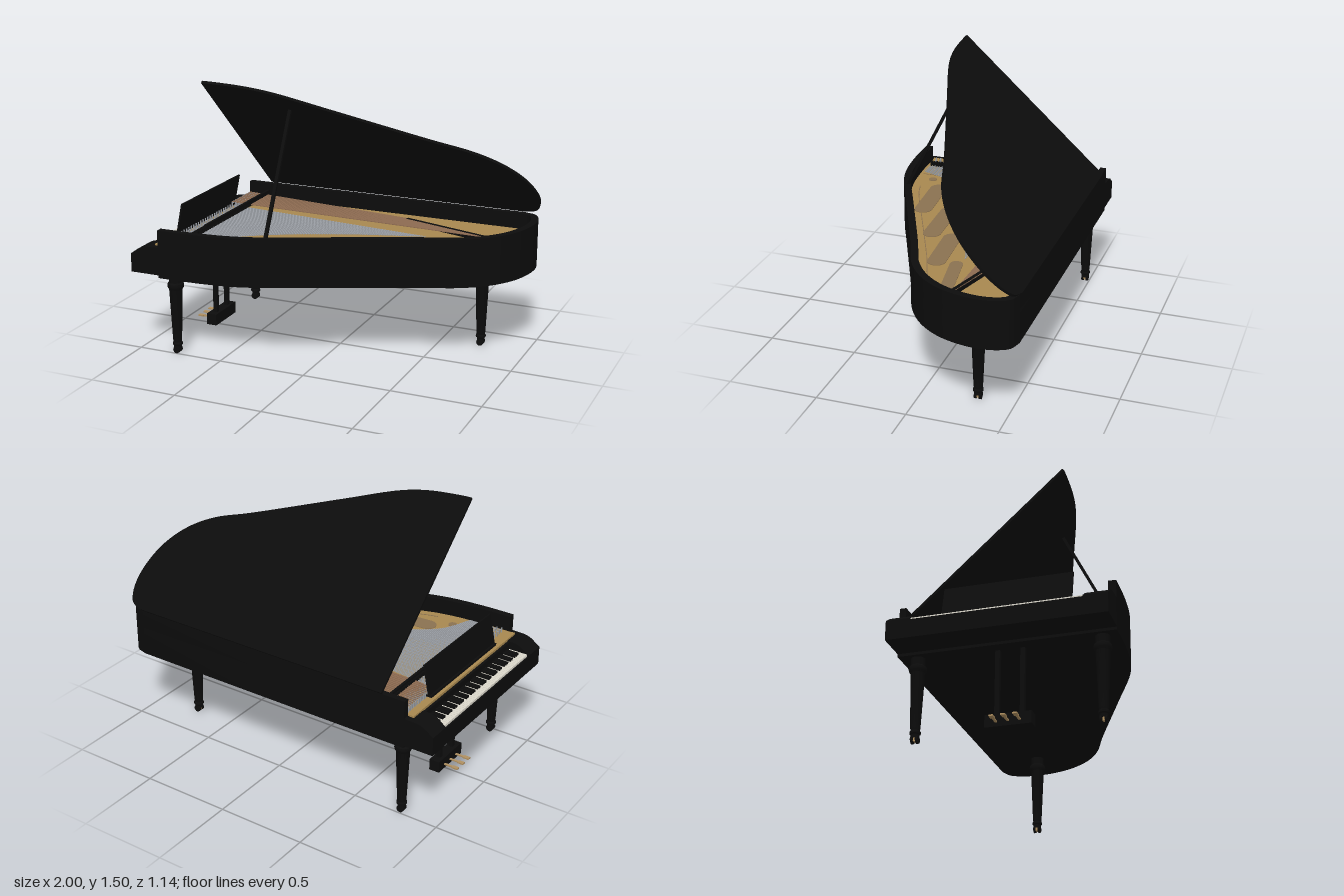
import * as THREE from 'three';
import { mergeGeometries, toCreasedNormals } from 'three/addons/utils/BufferGeometryUtils.js';

const mat = (name, color) => Object.assign(new THREE.MeshStandardMaterial({ color }), { name });

export function createModel() {
  const piano = new THREE.Group();
  piano.name = 'grandPiano';
  const black = mat('blackLacquer', 0x0c0c0c);
  const gold = mat('goldPlate', 0xa8884f);
  const tan = mat('shadedSoundboard', 0x8a7150);
  const ivory = mat('ivory', 0xdcd8cc);
  const silver = mat('steelString', 0x9a9ea4);
  const copper = mat('copperString', 0x8c6a50);
  const brass = mat('brass', 0xb09060);

  const add = (name, geo, material, parent = piano) => {
    const m = new THREE.Mesh(geo, material);
    m.name = name;
    parent.add(m);
    return m;
  };
  // box given by its limits on each axis
  const box = (x0, x1, y0, y1, z0, z1) =>
    new THREE.BoxGeometry(x1 - x0, y1 - y0, z1 - z0)
      .translate((x0 + x1) / 2, (y0 + y1) / 2, (z0 + z1) / 2);
  // horizontal bar between two [x, z] points
  const bar = ([ax, az], [bx, bz], y, w, h) =>
    new THREE.BoxGeometry(Math.hypot(bx - ax, bz - az), h, w)
      .rotateY(Math.atan2(az - bz, bx - ax))
      .translate((ax + bx) / 2, y, (az + bz) / 2);
  // slab with a plan outline of [x, z] points
  const slab = (pts, y0, y1) => {
    const s = new THREE.Shape(pts.map(([x, z]) => new THREE.Vector2(x, -z)));
    const g = new THREE.ExtrudeGeometry(s, { depth: y1 - y0, bevelEnabled: false });
    return toCreasedNormals(g.rotateX(-Math.PI / 2).translate(0, y0, 0), 0.5);
  };

  // plan curve of the bent side and tail
  const bent = new THREE.CatmullRomCurve3([
    [-0.83, 0.565], [-0.65, 0.562], [-0.45, 0.543], [-0.3, 0.505], [0, 0.375], [0.5, 0.155],
    [0.72, 0.065], [0.85, -0.03], [0.94, -0.15], [0.985, -0.27], [1, -0.39],
    [0.985, -0.48], [0.95, -0.54], [0.88, -0.565],
  ].map(([x, z]) => new THREE.Vector3(x, 0, z)));
  const outline = (inset) => {
    const pts = [];
    for (let i = 0; i <= 78; i++) {
      const p = bent.getPoint(i / 78), t = bent.getTangent(i / 78);
      pts.push([p.x + t.z * inset, p.z - t.x * inset]);
    }
    return pts;
  };
  const outer = outline(0), inner = outline(0.04);

  // case: solid lower body and raised rim open toward the keyboard
  add('caseBody', slab([...outer, [-0.83, -0.565]], 0.455, 0.62), black);
  add('rim', slab([...outer, [-0.83, -0.565], [-0.83, -0.53], ...inner.slice().reverse()], 0.62, 0.725), black);

  // plate with its oval openings
  add('plate', slab([[-0.865, 0.53], ...inner, [-0.865, -0.53]], 0.62, 0.636), gold);
  const border = outline(0.085);
  const lines = [];
  for (let i = 14; i < 66; i++) lines.push(bar(border[i], border[i + 1], 0.637, 0.004, 0.003));
  lines.push(bar([-0.6, 0.25], [-0.6, 0.5], 0.637, 0.004, 0.003));
  add('plateEdge', mergeGeometries(lines), tan);
  const openings = [
    [[-0.42, 0.335], [-0.11, 0.315]], [[-0.13, 0.165], [0.18, 0.155]],
    [[0.2, 0.03], [0.5, 0.01]], [[0.5, -0.1], [0.75, -0.14]],
  ].map(([a, b], i) => {
    const r = i < 3 ? 0.05 : 0.035;
    const disc = (p) => new THREE.CylinderGeometry(r, r, 0.004, 24).translate(p[0], 0.637, p[1]);
    return mergeGeometries([bar(a, b, 0.637, 2 * r, 0.004), disc(a), disc(b)]);
  });
  openings.push(new THREE.CylinderGeometry(0.025, 0.025, 0.004, 20).translate(-0.535, 0.637, 0.415));
  add('plateOpenings', mergeGeometries(openings), tan);

  // strings and tuning pins
  const trebleEnd = new THREE.CatmullRomCurve3([
    [-0.6, 0.49], [-0.52, 0.32], [-0.3, 0.16], [0.05, 0.0], [0.45, -0.13],
  ].map(([x, z]) => new THREE.Vector3(x, 0, z)));
  const treble = [], bass = [], pins = [];
  const pin = (x, z) => pins.push(new THREE.CylinderGeometry(0.004, 0.004, 0.03, 6).translate(x, 0.65, z));
  for (let i = 0; i < 110; i++) {
    const t = i / 109, z = 0.49 - 0.74 * t, e = trebleEnd.getPoint(t);
    const x = -0.8 + 0.025 * (i % 4);
    treble.push(bar([x, z], [e.x, e.z], 0.652, 0.003, 0.003));
    pin(x, z);
  }
  for (let i = 0; i < 60; i++) {
    const t = i / 59, z = -0.51 + 0.24 * t, x = -0.82 + 0.025 * (i % 4);
    bass.push(bar([x, z], [0.83 - 0.52 * (1 - t), -0.19 - 0.26 * (1 - t) * 0.6 - 0.02], 0.664, 0.004, 0.004));
    pin(x, z);
  }
  add('trebleStrings', mergeGeometries(treble), silver);
  add('bassStrings', mergeGeometries(bass), copper);
  add('tuningPins', mergeGeometries(pins), silver);
  add('bassBridge', bar([0.25, -0.37], [0.83, -0.2], 0.652, 0.02, 0.03), black);

  // dampers
  const dampers = [box(-0.705, -0.69, 0.672, 0.69, -0.52, 0.27)];
  for (let i = 0; i < 66; i++) {
    const z = -0.515 + i * 0.0153;
    dampers.push(box(-0.715, -0.69, 0.655, 0.68, z, z + 0.008));
  }
  add('dampers', mergeGeometries(dampers), black);

  // keyboard end: arms, key bed, front rail and fallboard
  const arm = new THREE.Shape();
  arm.moveTo(-0.83, 0.47).lineTo(-0.83, 0.627).lineTo(-0.9, 0.625);
  arm.bezierCurveTo(-0.95, 0.622, -0.965, 0.595, -1, 0.575);
  arm.lineTo(-1, 0.47);
  const armGeo = toCreasedNormals(new THREE.ExtrudeGeometry(arm, { depth: 0.125, bevelEnabled: false }), 0.5);
  add('leftArm', armGeo, black).position.z = 0.44;
  add('rightArm', armGeo, black).position.z = -0.565;
  add('keyBed', box(-1, -0.83, 0.47, 0.55, -0.44, 0.44), black);
  add('keySlip', box(-1, -0.991, 0.55, 0.568, -0.44, 0.44), black);
  add('fallboard', box(-0.88, -0.83, 0.55, 0.622, -0.44, 0.44), black);

  // 52 white keys from low A, sharps after every A, C, D, F and G
  const white = [], sharps = [], pitch = 0.88 / 52;
  for (let i = 0; i < 52; i++) {
    const z = -0.44 + i * pitch;
    white.push(box(-0.99, -0.88, 0.55, 0.58, z + 0.0008, z + pitch - 0.0008));
    if (i < 51 && [0, 2, 3, 5, 6].includes(i % 7))
      sharps.push(box(-0.953, -0.88, 0.58, 0.592, z + pitch - 0.005, z + pitch + 0.005));
  }
  add('whiteKeys', mergeGeometries(white), ivory);
  add('blackKeys', mergeGeometries(sharps), black);

  // music desk
  add('musicShelf', box(-0.85, -0.815, 0.64, 0.652, -0.335, 0.34), black);
  const desk = add('musicDesk', new THREE.BoxGeometry(0.01, 0.172, 0.68), black);
  desk.position.set(-0.817, 0.732, 0.003);
  desk.rotation.z = -0.2;

  // lid hinged along the straight side, with its prop
  const lidPts = outer.filter(([x]) => x > -0.7).map(([x, z]) => [x, z + 0.565]);
  const lid = add('lid', slab([[-0.7, 0], [-0.7, 1.128], ...lidPts], 0, 0.015), black);
  lid.position.set(0, 0.727, -0.567);
  lid.rotation.x = -0.738;
  const prop = add('lidProp', new THREE.BoxGeometry(0.018, 0.71, 0.016), black);
  prop.position.set(-0.235, 1.035, 0.295);
  prop.rotation.x = -Math.atan2(0.32, 0.635);

  // turned legs on casters
  const legGeo = new THREE.LatheGeometry([
    [0, 0.028], [0.021, 0.028], [0.022, 0.045], [0.028, 0.05], [0.028, 0.06], [0.023, 0.066], [0.025, 0.08],
    [0.037, 0.375], [0.044, 0.385], [0.046, 0.397], [0.044, 0.408], [0.036, 0.415], [0.037, 0.46],
  ].map(([r, y]) => new THREE.Vector2(r, y)), 20);
  const wheel = new THREE.CylinderGeometry(0.02, 0.02, 0.012, 16).rotateX(Math.PI / 2);
  [['leftFrontLeg', -0.775, 0.48], ['rightFrontLeg', -0.775, -0.475], ['tailLeg', 0.73, -0.3]].forEach(([name, x, z]) => {
    const leg = new THREE.Group();
    leg.name = name;
    leg.position.set(x, 0, z);
    add('legPost', toCreasedNormals(legGeo, 0.6), black, leg);
    for (const s of [-1, 1]) add('casterWheel', wheel, black, leg).position.set(0, 0.02, s * 0.013);
    add('casterFork', box(-0.012, 0.012, 0.01, 0.035, -0.006, 0.006), brass, leg);
    piano.add(leg);
  });

  // pedal lyre
  const lyre = new THREE.Group();
  lyre.name = 'pedalLyre';
  piano.add(lyre);
  add('pedalBox', box(-0.785, -0.725, 0.04, 0.105, -0.115, 0.125), black, lyre);
  for (const z of [-0.06, 0.07]) add('lyrePost', box(-0.765, -0.741, 0.1, 0.46, z - 0.012, z + 0.012), black, lyre);
  for (const z of [-0.055, 0.005, 0.065]) {
    add('pedalArm', box(-0.84, -0.78, 0.061, 0.068, z - 0.006, z + 0.006), brass, lyre);
    add('pedalTip', box(-0.87, -0.835, 0.061, 0.069, z - 0.011, z + 0.011), brass, lyre);
  }
  return piano;
}
